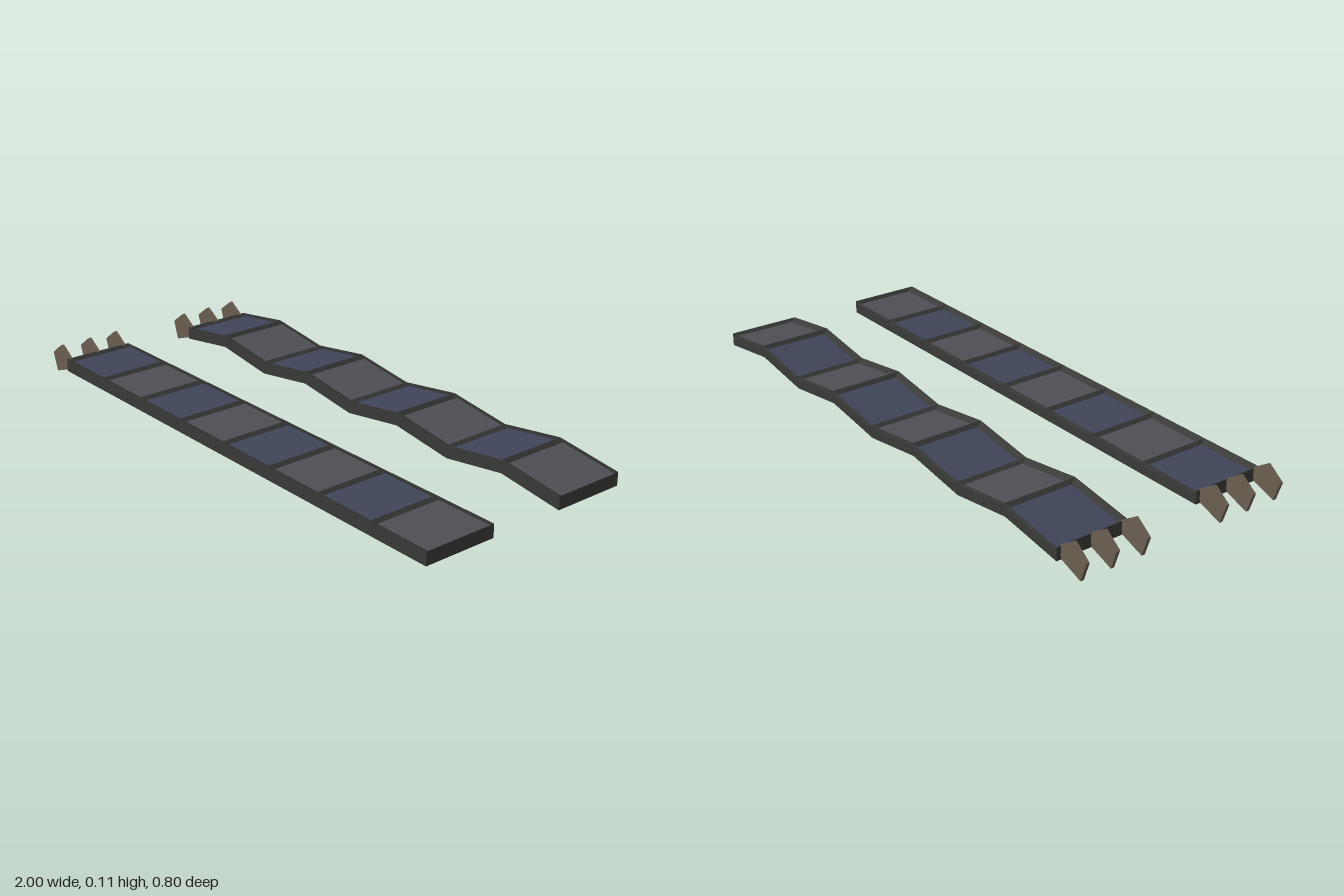
import * as THREE from 'three';

const mat = (color) => new THREE.MeshStandardMaterial({ color, flatShading: true, side: THREE.DoubleSide });

const X0 = -0.89, X1 = 1, COUNT = 8, STEP = (X1 - X0) / COUNT;
const BOTTOM = 0.027, THICK = 0.046, WIDTH = 0.263;
const INSET = 0.011, DEPTH = 0.012;

// Geometry from a list of four-cornered faces, corners counter-clockwise
function quads(list) {
  const pos = [];
  for (const [a, b, c, d] of list) pos.push(...a, ...b, ...c, ...a, ...c, ...d);
  const g = new THREE.BufferGeometry();
  g.setAttribute('position', new THREE.Float32BufferAttribute(pos, 3));
  g.computeVertexNormals();
  return g;
}

// One strip of hinged segments; rise lifts every second joint
function makeStrip(name, zFront, rise, mats) {
  const strip = new THREE.Group();
  strip.name = name;
  const zBack = zFront - WIDTH;
  const lift = (i) => (i % 2 ? rise : 0);
  const frame = [];

  for (let i = 0; i < COUNT; i++) {
    const xa = X0 + i * STEP, xb = xa + STEP;
    const la = BOTTOM + lift(i), lb = BOTTOM + lift(i + 1);
    const low = (x) => la + (lb - la) * (x - xa) / STEP;
    const top = (x, z) => [x, low(x) + THICK, z];
    const base = (x, z) => [x, low(x), z];
    const floor = (x, z) => [x, low(x) + THICK - DEPTH, z];

    // Rim corners and sunken panel corners: front left, front right, back right, back left
    const rim = [top(xa, zFront), top(xb, zFront), top(xb, zBack), top(xa, zBack)];
    const under = [base(xa, zFront), base(xb, zFront), base(xb, zBack), base(xa, zBack)];
    const pf = zFront - 0.022, pb = zBack - 0.003;
    const pan = [floor(xa + INSET, pf), floor(xb - INSET, pf), floor(xb - INSET, pb), floor(xa + INSET, pb)];

    // Outer sides, underside and sloping rim walls
    frame.push([under[0], under[1], rim[1], rim[0]]);
    frame.push([under[2], under[3], rim[3], rim[2]]);
    frame.push([under[3], under[2], under[1], under[0]]);
    if (i === 0) frame.push([under[3], under[0], rim[0], rim[3]]);
    if (i === COUNT - 1) frame.push([under[1], under[2], rim[2], rim[1]]);
    for (let k = 0; k < 4; k++) {
      const n = (k + 1) % 4;
      frame.push([rim[k], rim[n], pan[n], pan[k]]);
    }

    const panel = new THREE.Mesh(quads([pan]), i % 2 ? mats.grey : mats.blue);
    panel.name = 'panel' + (i + 1);
    strip.add(panel);
  }

  const body = new THREE.Mesh(quads(frame), mats.frame);
  body.name = 'frame';
  strip.add(body);

  // Three thin five-sided claws at the end
  const outline = [[-1, 0.067], [-0.978, 0], [-0.893, 0.03], [-0.884, 0.072], [-0.942, 0.11]];
  const shape = new THREE.Shape(outline.map(([x, y]) => new THREE.Vector2(x, y)));
  const clawGeo = new THREE.ExtrudeGeometry(shape, { depth: 0.012, bevelEnabled: false });
  [0.015, 0.131, 0.242].forEach((offset, i) => {
    const claw = new THREE.Mesh(clawGeo, mats.claw);
    claw.name = 'claw' + (i + 1);
    claw.position.z = zFront - offset - 0.006;
    strip.add(claw);
  });
  return strip;
}

export function createModel() {
  const mats = {
    frame: mat(0x3a3a38),
    blue: mat(0x3f4459),
    grey: mat(0x4f4e55),
    claw: mat(0x6b5f50),
  };
  const model = new THREE.Group();
  model.name = 'trackPair';
  model.add(makeStrip('flatStrip', 0.402, 0, mats));
  model.add(makeStrip('foldedStrip', -0.135, 0.034, mats));
  return model;
}
